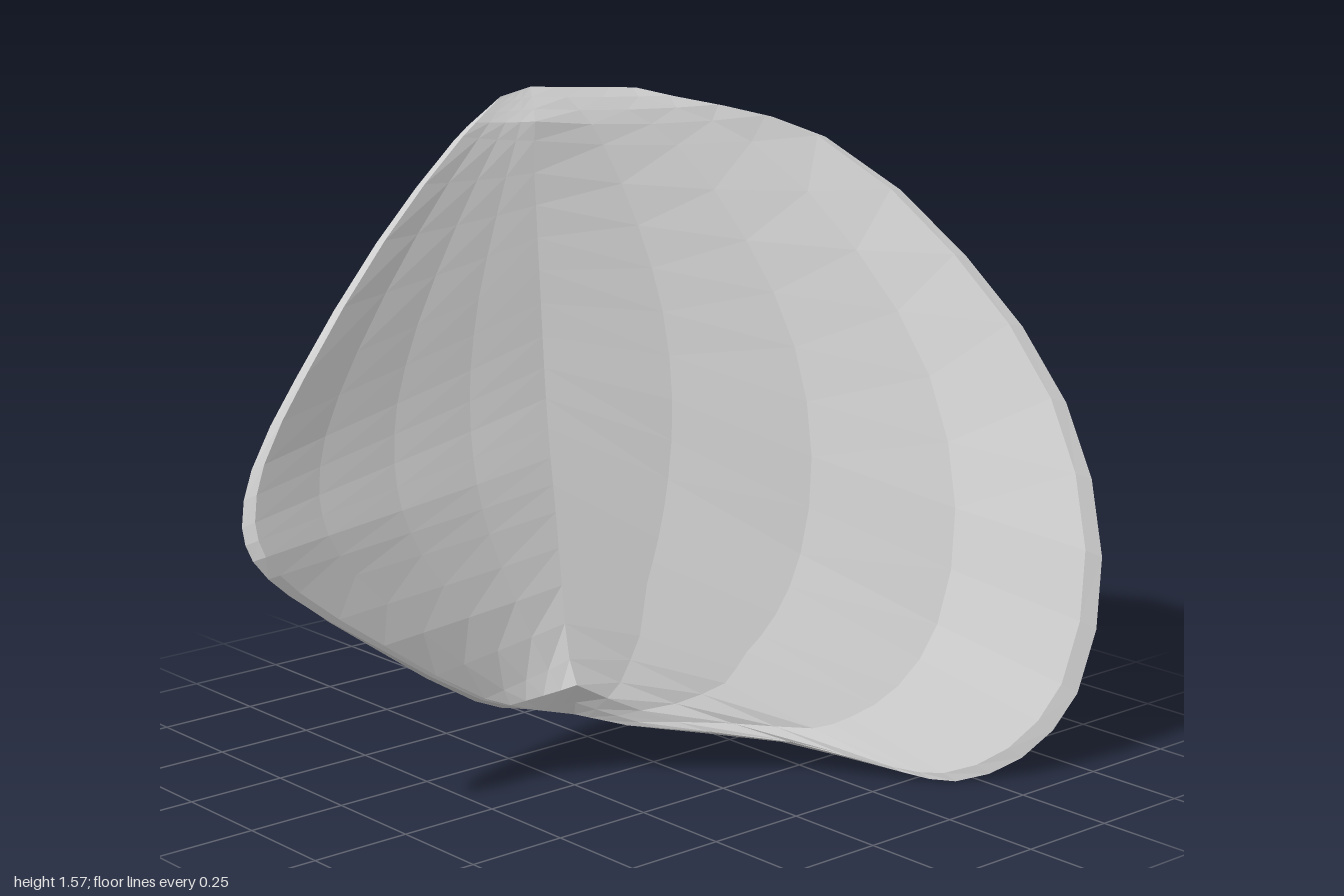
import * as THREE from 'three';

const V = (x, y, z) => new THREE.Vector3(x, y, z);
const curve = pts => new THREE.CatmullRomCurve3(pts.map(p => V(...p)));

// Matching points, bottom to top: left-hand rim, fold ridge, right-hand rim
const rimA = curve([[-0.3, 0.18, -0.095], [-0.42, 0.22, -0.135], [-0.7, 0.4, -0.16], [-0.92, 0.56, -0.19],
  [-1, 0.65, -0.21], [-1, 0.72, -0.25], [-0.93, 0.83, -0.31], [-0.75, 1, -0.39],
  [-0.42, 1.26, -0.52], [-0.1, 1.47, -0.62], [0.07, 1.555, -0.66]]);
const ridge = curve([[-0.2, 0.155, -0.06], [-0.19, 0.26, -0.13], [-0.15, 0.42, -0.205], [-0.11, 0.58, -0.275],
  [-0.08, 0.7, -0.33], [-0.04, 0.83, -0.395], [0, 0.97, -0.455], [0.04, 1.12, -0.515],
  [0.08, 1.27, -0.575], [0.12, 1.42, -0.63], [0.18, 1.57, -0.675]]);
const rimB = curve([[-0.1, 0.125, 0.02], [0.2, 0.08, 0.27], [0.36, 0.025, 0.49], [0.45, 0.005, 0.58],
  [0.6, 0.05, 0.655], [0.77, 0.18, 0.675], [0.92, 0.48, 0.61], [1, 0.82, 0.41],
  [0.96, 1.15, 0.1], [0.81, 1.43, -0.26], [0.45, 1.555, -0.585]]);

// Facing directions of the two wings and of the fold between them
const normalA = V(0.065, 0.38, 0.92).normalize();
const normalB = V(-0.53, 0.45, 0.72).normalize();
const normalMid = normalA.clone().add(normalB).normalize();
const wingA = { rim: rimA, normal: normalA, bulge: 0.05 };
const wingB = { rim: rimB, normal: normalB, bulge: 0.08 };

const steps = [0, 0.03, 0.25, 0.5, 0.75, 1];   // rim to ridge
const rows = [0, 0.02, 0.05];
for (let i = 2; i <= 18; i++) rows.push(i / 20);
rows.push(0.93, 0.955, 0.98, 1);

// One point of the shell; side is +1 for the inner face, -1 for the outer
function shellPoint(wing, t, u, side) {
  const taper = Math.min(1, t / 0.05, (1 - t) / 0.07);
  const edge = wing.rim.getPoint(t);
  const spine = ridge.getPoint(t).addScaledVector(normalMid, 0.035 * taper);
  const dir = wing.normal.clone().lerp(normalMid, u * u).normalize();
  const bulge = wing.bulge * taper * edge.distanceTo(spine) * 4 * u * (1 - u);
  const half = u === 0 ? 0 : (0.018 + 0.02 * Math.sin(u * Math.PI / 2)) * taper;
  // The lower rim is rounded towards the back, so its middle sits behind the outline
  const setBack = u === 0 ? 0 : 0.016 * (1 - u) * taper * THREE.MathUtils.clamp(1.6 - 4 * t, 0, 1);
  return edge.lerp(spine, u).addScaledVector(dir, side * half - bulge - setBack);
}

function shellFace(side) {
  const pos = [], index = [];
  for (const t of rows) {
    const section = steps.map(u => shellPoint(wingA, t, u, side));
    for (const u of steps.slice(0, -1).reverse()) section.push(shellPoint(wingB, t, u, side));
    section.forEach(p => pos.push(p.x, p.y, p.z));
  }
  const n = steps.length * 2 - 1;
  for (let i = 0; i < rows.length - 1; i++) {
    for (let j = 0; j < n - 1; j++) {
      const a = i * n + j, b = a + 1, c = b + n, d = a + n;
      if (side > 0) index.push(a, b, c, a, c, d);
      else index.push(a, c, b, a, d, c);
    }
  }
  const geo = new THREE.BufferGeometry();
  geo.setAttribute('position', new THREE.Float32BufferAttribute(pos, 3));
  geo.setIndex(index);
  geo.computeVertexNormals();
  return geo;
}

export function createModel() {
  const group = new THREE.Group();
  group.name = 'curvedShellFragment';
  const mat = new THREE.MeshStandardMaterial({ color: 0xcccccc, flatShading: true, side: THREE.DoubleSide });
  mat.name = 'light grey';
  for (const [name, side] of [['innerFace', 1], ['outerFace', -1]]) {
    const mesh = new THREE.Mesh(shellFace(side), mat);
    mesh.name = name;
    group.add(mesh);
  }
  return group;
}
